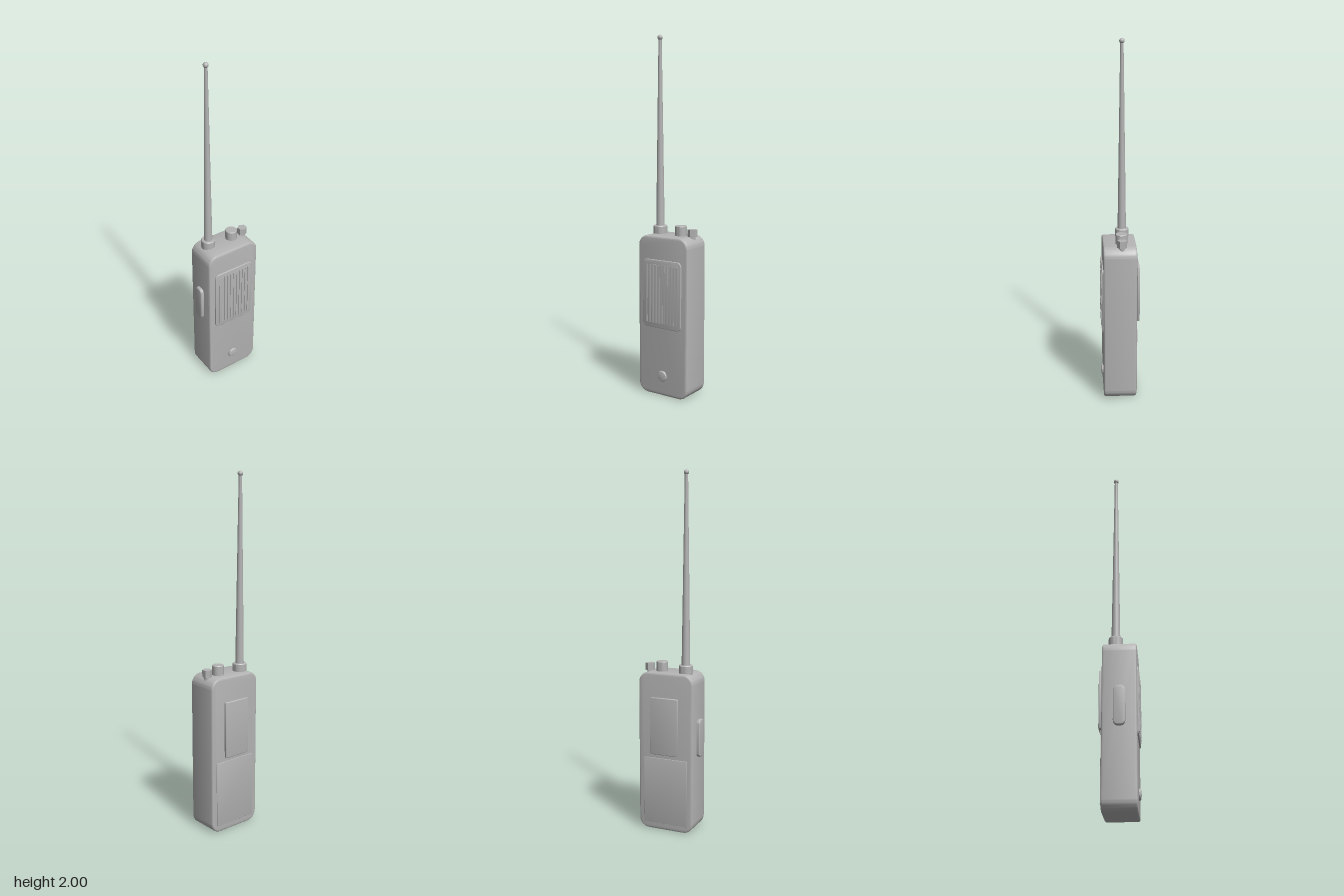
import * as THREE from 'three';
import { toCreasedNormals } from 'three/addons/utils/BufferGeometryUtils.js';

const casing = new THREE.MeshStandardMaterial({ color: 0xb4b4b4 });
casing.name = 'casing grey';

// Rounded plate in the xy plane, centred on the origin, with bevelled rims
function slab(w, h, d, r, bevel) {
  const x = w / 2 - bevel, y = h / 2 - bevel, c = Math.max(r - bevel, 0.001);
  const s = new THREE.Shape();
  s.moveTo(-x + c, -y);
  s.lineTo(x - c, -y);
  s.absarc(x - c, -y + c, c, -Math.PI / 2, 0);
  s.absarc(x - c, y - c, c, 0, Math.PI / 2);
  s.absarc(-x + c, y - c, c, Math.PI / 2, Math.PI);
  s.absarc(-x + c, -y + c, c, Math.PI, Math.PI * 1.5);
  const geo = new THREE.ExtrudeGeometry(s, {
    depth: d - 2 * bevel, bevelEnabled: true, bevelSize: bevel,
    bevelThickness: bevel, bevelSegments: 3, curveSegments: 6,
  });
  geo.translate(0, 0, -d / 2 + bevel);
  return toCreasedNormals(geo, 0.6);
}

// Turned part from [radius, height] pairs
function turned(points, sides = 32) {
  const geo = new THREE.LatheGeometry(points.map(([r, y]) => new THREE.Vector2(r, y)), sides);
  return toCreasedNormals(geo, 0.6);
}

export function createModel() {
  const radio = new THREE.Group();
  radio.name = 'handheldRadio';
  const add = (name, geo, x, y, z, parent = radio) => {
    const mesh = new THREE.Mesh(geo, casing);
    mesh.name = name;
    mesh.position.set(x, y, z);
    parent.add(mesh);
    return mesh;
  };

  add('body', slab(0.326, 0.905, 0.184, 0.058, 0.01), 0.0075, 0.4525, 0.003);

  // Speaker panel with upright ribs
  const speaker = new THREE.Group();
  speaker.name = 'speaker';
  radio.add(speaker);
  add('speakerPanel', slab(0.252, 0.385, 0.016, 0.025, 0.003), 0.0075, 0.5825, 0.0945, speaker);
  const rib = new THREE.BoxGeometry(0.009, 0.33, 0.01);
  for (let i = 0; i < 11; i++) add('speakerRib', rib, -0.0925 + i * 0.02, 0.5825, 0.1015, speaker);

  // Round front button, slightly domed
  const button = turned([[0, -0.01], [0.03, -0.01], [0.03, 0.007], [0.027, 0.011], [0.018, 0.013], [0, 0.014]]);
  add('frontButton', button, 0.0075, 0.115, 0.094).rotation.x = Math.PI / 2;

  // Push-to-talk key on the right side
  add('talkKey', slab(0.063, 0.216, 0.03, 0.026, 0.006), -0.159, 0.539, 0.0035).rotation.y = -Math.PI / 2;

  // Battery cover and belt clip on the back
  add('batteryCover', slab(0.264, 0.38, 0.01, 0.006, 0.001), 0.0075, 0.23, -0.0885);
  add('beltClip', slab(0.163, 0.325, 0.015, 0.008, 0.004), 0.0075, 0.6075, -0.1035);
  add('clipMount', new THREE.BoxGeometry(0.06, 0.06, 0.02), 0.0075, 0.69, -0.092);

  // Antenna with collar and ball tip
  const antenna = new THREE.Group();
  antenna.name = 'antenna';
  antenna.position.set(-0.086, 0, -0.019);
  radio.add(antenna);
  add('antennaCollar', turned([[0, 0.895], [0.039, 0.895], [0.039, 0.945], [0.035, 0.95], [0, 0.95]]), 0, 0, 0, antenna);
  add('antennaRod', new THREE.CylinderGeometry(0.009, 0.024, 1.04, 24), 0, 1.465, 0, antenna);
  add('antennaTip', new THREE.SphereGeometry(0.0145, 24, 16), 0, 1.9855, 0, antenna);

  // Volume knob
  add('volumeKnob', turned([[0, 0.895], [0.033, 0.895], [0.033, 0.956], [0.03, 0.96], [0, 0.96]]), 0.0625, 0, -0.008);

  // Six-sided channel knob on a short stem
  const hex = new THREE.CylinderGeometry(0.027, 0.027, 0.04, 6).toNonIndexed();
  hex.computeVertexNormals();
  add('channelKnob', hex, 0.1385, 0.925, -0.008);
  add('channelStem', new THREE.CylinderGeometry(0.016, 0.016, 0.04, 20), 0.1385, 0.895, -0.008);

  return radio;
}
